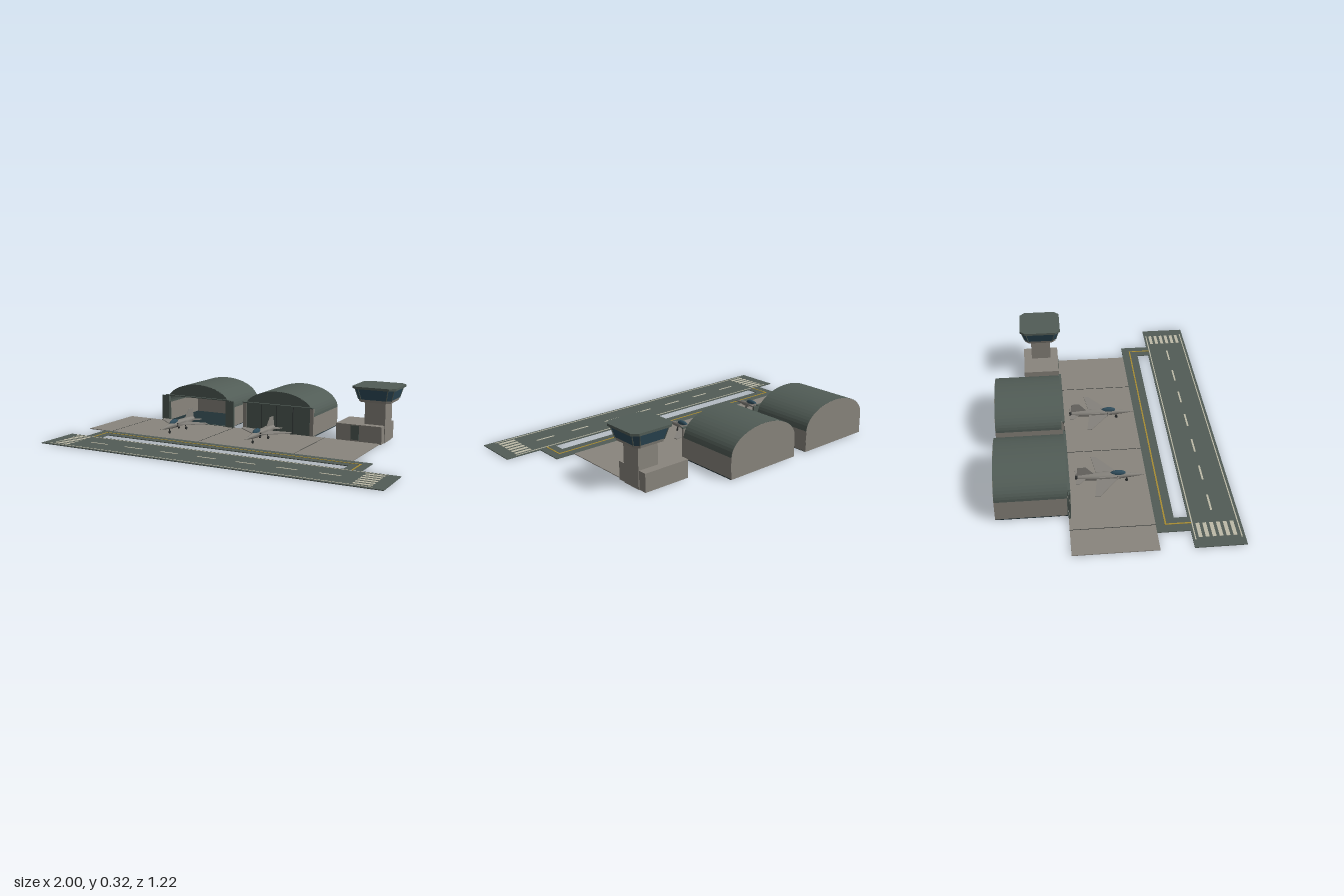
import * as THREE from 'three';
import { toCreasedNormals } from 'three/addons/utils/BufferGeometryUtils.js';

const mat = (name, color) => Object.assign(new THREE.MeshStandardMaterial({ color }), { name });
const M = {
  concrete: mat('concrete', 0x89857d),
  asphalt: mat('asphalt', 0x525c56),
  steel: mat('greenSteel', 0x515c56),
  floor: mat('hangarFloor', 0x223236),
  glass: mat('blueGlass', 0x2f4c5b),
  white: mat('whitePaint', 0xbdbaa8),
  yellow: mat('yellowPaint', 0xa98d33),
  jet: mat('jetGrey', 0x85827c),
  dark: mat('darkRubber', 0x2b2e2e),
};

function add(parent, name, geo, material) {
  const m = new THREE.Mesh(geo, material);
  m.name = name;
  parent.add(m);
  return m;
}

// Box given by its limits on each axis
function box(parent, name, material, x0, x1, y0, y1, z0, z1) {
  const g = new THREE.BoxGeometry(x1 - x0, y1 - y0, z1 - z0);
  g.translate((x0 + x1) / 2, (y0 + y1) / 2, (z0 + z1) / 2);
  return add(parent, name, g, material);
}

const polygon = pts => new THREE.Shape(pts.map(p => new THREE.Vector2(p[0], p[1])));
const extrude = (shape, depth, curveSegments = 14) =>
  new THREE.ExtrudeGeometry(shape, { depth, bevelEnabled: false, curveSegments });

// Horizontal plate from [x, z] corners
function plate(pts, y, thick) {
  const g = extrude(polygon(pts.map(([x, z]) => [x, -z])), thick);
  return g.rotateX(-Math.PI / 2).translate(0, y, 0);
}

// Rounded body through sections [z, y, halfWidth, halfHeight], nose first
function loft(sections, sides = 16) {
  const n = sections.length - 1;
  const g = new THREE.CylinderGeometry(1, 1, 1, sides, n).rotateX(Math.PI / 2);
  const p = g.attributes.position;
  for (let i = 0; i < p.count; i++) {
    const [z, y, rx, ry] = sections[Math.round((0.5 - p.getZ(i)) * n)];
    p.setXYZ(i, p.getX(i) * rx, y + p.getY(i) * ry, z);
  }
  return toCreasedNormals(g, 0.7);
}

// Square block with cut corners, flaring from half size s0 to s1
function cutCorner(y0, y1, s0, s1) {
  const g = new THREE.CylinderGeometry(1, 1, 1, 8, 1, false, Math.PI / 8);
  const p = g.attributes.position;
  for (let i = 0; i < p.count; i++) {
    const top = p.getY(i) > 0, s = top ? s1 : s0;
    const f = v => Math.abs(v) < 0.01 ? 0 : Math.sign(v) * (Math.abs(v) > 0.7 ? s : s * 0.76);
    p.setXYZ(i, f(p.getX(i)), top ? y1 : y0, f(p.getZ(i)));
  }
  const flat = g.toNonIndexed();
  flat.computeVertexNormals();
  return flat;
}

function strut(parent, name, material, a, b, r) {
  const d = new THREE.Vector3().subVectors(b, a);
  const m = add(parent, name, new THREE.CylinderGeometry(r, r, d.length(), 6), material);
  m.position.addVectors(a, b).multiplyScalar(0.5);
  m.quaternion.setFromUnitVectors(new THREE.Vector3(0, 1, 0), d.normalize());
}

function createGround() {
  const g = new THREE.Group();
  g.name = 'airfield';
  box(g, 'runway', M.asphalt, -1, 1, 0, 0.004, 0.35, 0.61);
  box(g, 'taxiway', M.asphalt, -0.885, 0.8, 0, 0.004, 0.183, 0.28);
  box(g, 'taxiwayLink', M.asphalt, -0.885, -0.79, 0, 0.004, 0.28, 0.35);
  box(g, 'taxiwayLink', M.asphalt, 0.705, 0.8, 0, 0.004, 0.28, 0.35);
  box(g, 'apron', M.concrete, -1, 0.69, 0, 0.004, -0.245, 0.183);
  for (const x of [-0.832, -0.235, 0.36])
    box(g, 'apronJoint', M.dark, x - 0.0015, x + 0.0015, 0.004, 0.0046, -0.245, 0.183);
  // Runway paint
  for (let i = -3; i <= 3; i++)
    box(g, 'centreDash', M.white, i * 0.231 - 0.06, i * 0.231 + 0.052, 0.004, 0.0056, 0.473, 0.483);
  for (const z of [0.364, 0.593])
    box(g, 'edgeLine', M.white, -0.95, 0.94, 0.004, 0.0056, z - 0.003, z + 0.003);
  for (const x of [-0.935, 0.835])
    for (let i = 0; i < 6; i++)
      box(g, 'thresholdBar', M.white, x, x + 0.097, 0.004, 0.0056, 0.381 + i * 0.0345, 0.4 + i * 0.0345);
  // Taxi line
  box(g, 'taxiLine', M.yellow, -0.837, 0.757, 0.004, 0.0056, 0.228, 0.236);
  for (const x of [-0.833, 0.753])
    box(g, 'taxiLine', M.yellow, x - 0.004, x + 0.004, 0.004, 0.0056, 0.236, 0.36);
  return g;
}

const EAVE = 0.118, RISE = 0.13, HALF = 0.231;
function gable(w, h) {
  const s = new THREE.Shape();
  s.moveTo(-w, 0);
  s.lineTo(w, 0);
  s.lineTo(w, EAVE);
  s.absellipse(0, EAVE, w, h, 0, Math.PI, false);
  s.lineTo(-w, 0);
  return s;
}

function createHangar(open) {
  const g = new THREE.Group();
  g.name = open ? 'openHangar' : 'closedHangar';
  box(g, 'floor', M.floor, -HALF, HALF, 0, 0.005, -0.61, -0.246);
  for (const s of [-1, 1]) {
    const a = s * HALF, b = s * (HALF - 0.012);
    box(g, 'sideWall', M.concrete, Math.min(a, b), Math.max(a, b), 0.001, EAVE, -0.612, -0.25);
  }
  add(g, 'backWall', extrude(gable(HALF - 0.001, RISE - 0.001), 0.012), M.concrete).position.z = -0.613;
  // Curved roof shell
  const roof = new THREE.Shape();
  roof.absellipse(0, EAVE, HALF, RISE, 0, Math.PI, false);
  roof.absellipse(0, EAVE, HALF - 0.012, RISE - 0.012, Math.PI, 0, true);
  add(g, 'roof', extrude(roof, 0.365), M.steel).position.z = -0.612;
  // Front wall with doorway
  const front = gable(HALF - 0.001, RISE - 0.001);
  front.holes.push(polygon([[-0.205, 0.006], [-0.205, 0.168], [0.205, 0.168], [0.205, 0.006]]));
  add(g, 'frontWall', extrude(front, 0.01), M.steel).position.z = -0.256;
  box(g, 'doorRail', M.steel, -HALF, HALF, 0.166, 0.172, -0.246, -0.232);
  // Sliding doors, stacked aside when open
  if (open) {
    for (const s of [-1, 1])
      for (let i = 0; i < 2; i++) {
        const c = s * (0.233 - i * 0.003), z = -0.245 + i * 0.007;
        box(g, 'door', M.steel, c - 0.026, c + 0.026, 0.004, 0.166, z, z + 0.005);
      }
  } else {
    for (let i = 0; i < 4; i++) {
      const x = -0.208 + i * 0.104, z = i === 1 || i === 2 ? -0.239 : -0.246;
      box(g, 'door', M.steel, x, x + 0.104, 0.004, 0.167, z, z + 0.006);
    }
    for (const x of [-0.104, 0, 0.104])
      box(g, 'doorSeam', M.dark, x - 0.0015, x + 0.0015, 0.004, 0.166, -0.24, -0.2325);
    for (const s of [-1, 1])
      box(g, 'doorPost', M.concrete, s * 0.22 - 0.011, s * 0.22 + 0.011, 0.001, 0.166, -0.25, -0.238);
  }
  return g;
}

function createTower() {
  const g = new THREE.Group();
  g.name = 'controlTower';
  box(g, 'annex', M.concrete, 0.43, 0.7, 0, 0.1, -0.45, -0.24);
  box(g, 'annexDoor', M.steel, 0.518, 0.568, 0.012, 0.095, -0.24, -0.237);
  box(g, 'shaft', M.concrete, 0.583, 0.704, 0, 0.235, -0.402, -0.285);
  const cab = new THREE.Group();
  cab.name = 'cab';
  cab.position.set(0.645, 0, -0.344);
  g.add(cab);
  add(cab, 'cabBase', cutCorner(0.23, 0.245, 0.092, 0.096), M.concrete);
  add(cab, 'cabGlass', cutCorner(0.245, 0.306, 0.096, 0.114), M.glass);
  add(cab, 'cabRoof', cutCorner(0.306, 0.319, 0.122, 0.122), M.steel).scale.x = 1.04;
  // Window posts at the eight corners
  for (const sx of [-1, 1]) for (const sz of [-1, 1]) for (const [kx, kz] of [[1, 0.76], [0.76, 1]])
    strut(cab, 'windowPost', M.steel,
      new THREE.Vector3(sx * kx * 0.096, 0.243, sz * kz * 0.096),
      new THREE.Vector3(sx * kx * 0.114, 0.307, sz * kz * 0.114), 0.003);
  return g;
}

function createJet() {
  const g = new THREE.Group();
  g.name = 'jet';
  add(g, 'fuselage', loft([
    [0.173, 0.045, 0.001, 0.001], [0.14, 0.045, 0.006, 0.006], [0.1, 0.046, 0.011, 0.012],
    [0.05, 0.047, 0.016, 0.018], [0, 0.048, 0.021, 0.02], [-0.06, 0.048, 0.024, 0.02],
    [-0.12, 0.048, 0.021, 0.019], [-0.185, 0.047, 0.013, 0.014]]), M.jet);
  add(g, 'nozzle', loft([[-0.184, 0.047, 0.012, 0.013], [-0.198, 0.047, 0.01, 0.011]]), M.dark);
  const canopy = add(g, 'canopy', new THREE.SphereGeometry(1, 16, 10), M.glass);
  canopy.scale.set(0.014, 0.018, 0.042);
  canopy.position.set(0, 0.062, 0.028);
  for (const s of [-1, 1]) {
    const side = pts => pts.map(([x, z]) => [s * x, z]);
    add(g, 'wing', plate(side([[0.01, 0.045], [0.022, 0.03], [0.155, -0.078], [0.155, -0.104], [0.022, -0.085], [0.01, -0.085]]), 0.045, 0.004), M.jet);
    add(g, 'tailplane', plate(side([[0.008, -0.135], [0.055, -0.178], [0.055, -0.197], [0.008, -0.19]]), 0.045, 0.003), M.jet);
    box(g, 'intake', M.jet, s * 0.021 - 0.006, s * 0.021 + 0.006, 0.036, 0.058, -0.07, 0.022);
    box(g, 'intakeMouth', M.dark, s * 0.021 - 0.005, s * 0.021 + 0.005, 0.038, 0.056, 0.022, 0.024);
  }
  // Upright fin
  const fin = extrude(polygon([[-0.095, 0.063], [-0.14, 0.114], [-0.184, 0.114], [-0.19, 0.055]]), 0.004);
  add(g, 'fin', fin.rotateY(-Math.PI / 2).translate(0.002, 0, 0), M.jet);
  // Landing gear
  for (const [x, z] of [[0, 0.075], [-0.026, -0.066], [0.026, -0.066]]) {
    strut(g, 'gearLeg', M.dark, new THREE.Vector3(x, 0.012, z), new THREE.Vector3(x * 0.7, 0.04, z), 0.0025);
    const wheel = add(g, 'wheel', new THREE.CylinderGeometry(0.008, 0.008, 0.007, 12), M.dark);
    wheel.rotation.z = Math.PI / 2;
    wheel.position.set(x, 0.012, z);
  }
  return g;
}

export function createModel() {
  const model = new THREE.Group();
  model.name = 'airbase';
  model.add(createGround(), createTower());
  [-0.495, 0.058].forEach((x, i) => {
    const hangar = createHangar(i === 0), jet = createJet();
    hangar.position.x = jet.position.x = x;
    model.add(hangar, jet);
  });
  return model;
}
